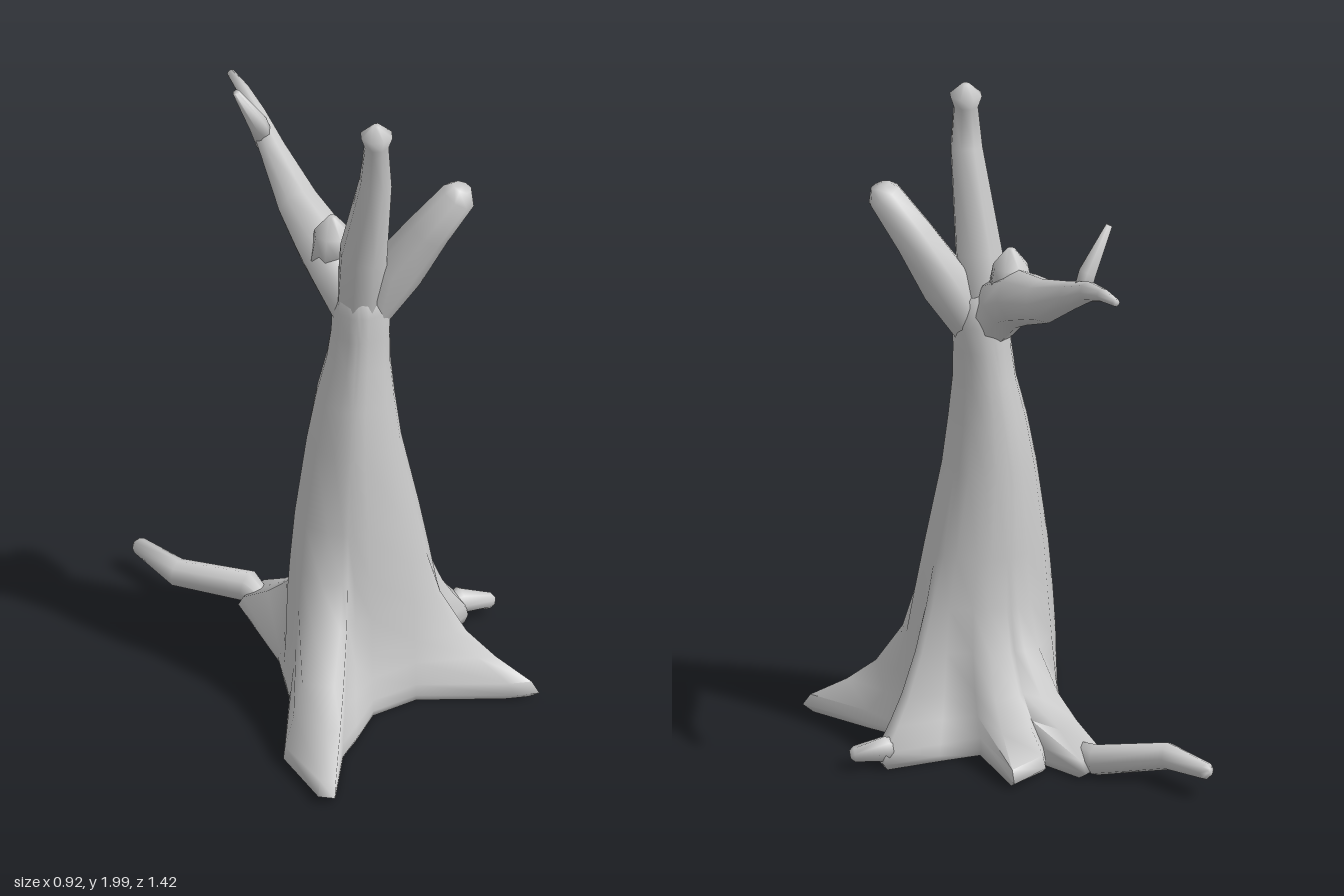
import * as THREE from 'three';
import { toCreasedNormals } from 'three/addons/utils/BufferGeometryUtils.js';

const material = new THREE.MeshStandardMaterial({ color: 0xcccccc });

// Skin a stack of closed rings and cap both ends with fans.
function loft(name, rings, bottom, top) {
  const n = rings[0].length, pts = [...rings.flat(), bottom, top], index = [];
  const last = (rings.length - 1) * n, b = pts.length - 2, t = pts.length - 1;
  for (let j = 0; j < n; j++) {
    const k = (j + 1) % n;
    for (let i = 0; i < last; i += n) index.push(i + j, i + k, i + n + j, i + k, i + n + k, i + n + j);
    index.push(b, k, j, t, last + j, last + k);
  }
  const geo = new THREE.BufferGeometry().setFromPoints(pts);
  geo.setIndex(index);
  const mesh = new THREE.Mesh(toCreasedNormals(geo, 1.9), material);
  mesh.name = name;
  return mesh;
}

// Tapering bent limb; each stop is [x, y, z, radius].
function limb(name, stops, sides = 8) {
  const p = stops.map(([x, y, z]) => new THREE.Vector3(x, y, z));
  const end = p.length - 1;
  const rings = p.map((c, i) => {
    const t = p[Math.min(i + 1, end)].clone().sub(p[Math.max(i - 1, 0)]).normalize();
    const u = new THREE.Vector3(1, 0, 0).addScaledVector(t, -t.x).normalize();
    const v = t.clone().cross(u);
    return Array.from({ length: sides }, (_, j) => {
      const a = (j / sides) * Math.PI * 2, r = stops[i][3];
      return c.clone().addScaledVector(u, r * Math.cos(a)).addScaledVector(v, r * Math.sin(a));
    });
  });
  return loft(name, rings, p[0], p[end]);
}

// Outline of the root spread on the ground, [x, z, ridge exponent]; a low exponent lifts the ridge.
const outline = [
  [-0.30, 0.17, 0.9], [-0.46, 0.45, 0.55], [-0.46, 0.68, 0.95], [-0.42, 0.71, 1], [-0.30, 0.52, 1], [-0.22, 0.45, 1],
  [-0.11, 0.34, 1], [0.04, 0.32, 1], [0.30, 0.45, 1.1], [0.37, 0.47, 1], [0.27, 0.26, 1], [0.18, 0.10, 1],
  [0.24, 0.06, 0.9], [0.37, 0.0, 0.65], [0.38, -0.07, 0.65], [0.20, -0.08, 0.8], [0.07, -0.09, 1], [0.11, -0.38, 1.2],
  [-0.03, -0.31, 1], [-0.06, -0.25, 1], [-0.11, -0.41, 0.95], [-0.21, -0.35, 0.95], [-0.23, -0.05, 1], [-0.26, 0.05, 1],
];

// Trunk levels: [y, centre x, centre z, radius x, radius z, share of root flare].
const levels = [
  [0.01, -0.04, 0.11, 0.22, 0.18, 0.9],
  [0.03, -0.04, 0.11, 0.22, 0.18, 1],
  [0.065, -0.04, 0.11, 0.22, 0.18, 0.93],
  [0.13, -0.04, 0.11, 0.22, 0.18, 0.6],
  [0.20, -0.04, 0.11, 0.22, 0.18, 0.34],
  [0.32, -0.04, 0.11, 0.22, 0.18, 0.1],
  [0.45, -0.045, 0.115, 0.21, 0.17, 0.015],
  [0.6, -0.05, 0.11, 0.188, 0.16, 0],
  [0.85, -0.06, 0.11, 0.14, 0.14, 0],
  [1.0, -0.055, 0.11, 0.115, 0.122, 0],
  [1.12, -0.045, 0.11, 0.093, 0.103, 0],
  [1.22, -0.038, 0.11, 0.086, 0.092, 0],
  [1.3, -0.035, 0.11, 0.086, 0.088, 0],
  [1.38, -0.035, 0.11, 0.07, 0.075, 0],
];

function trunk() {
  const rings = levels.map(([y, cx, cz, rx, rz, flare]) => outline.map(([x, z, ridge]) => {
    const a = Math.atan2(z - 0.12, x + 0.06), f = flare ** ridge;
    const ex = cx + rx * Math.cos(a), ez = cz + rz * Math.sin(a);
    return new THREE.Vector3(ex + (x - ex) * f, y, ez + (z - ez) * f);
  }));
  return loft('trunk', rings, new THREE.Vector3(-0.06, 0.03, 0.12), new THREE.Vector3(-0.035, 1.43, 0.11));
}

export function createModel() {
  const tree = new THREE.Group();
  tree.name = 'bareTree';
  tree.add(
    trunk(),
    // free root ends
    limb('backRoot', [[-0.14, 0.06, -0.2, 0.01], [-0.16, 0.06, -0.385, 0.047], [-0.33, 0.085, -0.51, 0.042],
      [-0.37, 0.09, -0.68, 0.026], [-0.373, 0.09, -0.695, 0.012]]),
    limb('leftRoot', [[0.22, 0.06, -0.01, 0.01], [0.36, 0.065, -0.035, 0.04], [0.445, 0.055, -0.005, 0.024], [0.457, 0.053, 0.0, 0.012]]),
    // main branches
    limb('frontBranch', [[-0.04, 1.15, 0.11, 0.03], [-0.04, 1.3, 0.115, 0.075], [-0.04, 1.5, 0.135, 0.073], [-0.045, 1.8, 0.225, 0.05],
      [-0.045, 1.93, 0.23, 0.038], [-0.045, 1.965, 0.23, 0.05], [-0.045, 2.0, 0.23, 0.012]]),
    limb('leftBranch', [[-0.04, 1.13, 0.11, 0.02], [-0.015, 1.27, 0.12, 0.062], [0.065, 1.42, 0.15, 0.08],
      [0.14, 1.56, 0.2, 0.066], [0.215, 1.69, 0.25, 0.054], [0.225, 1.72, 0.255, 0.03]]),
    limb('backBranch', [[-0.045, 1.13, 0.11, 0.02], [-0.05, 1.27, 0.095, 0.068], [-0.07, 1.38, 0.02, 0.085], [-0.075, 1.425, -0.07, 0.083],
      [-0.075, 1.467, -0.22, 0.066], [-0.07, 1.55, -0.4, 0.042], [-0.065, 1.605, -0.52, 0.03], [-0.058, 1.63, -0.62, 0.02], [-0.055, 1.638, -0.71, 0.012]]),
    // small offshoots
    limb('twig', [[-0.07, 1.55, -0.45, 0.03], [-0.1, 1.63, -0.44, 0.03], [-0.175, 1.765, -0.435, 0.011]], 6),
    limb('stub', [[-0.075, 1.42, 0.0, 0.07], [-0.075, 1.5, 0.0, 0.055], [-0.075, 1.555, 0.0, 0.012]]),
  );
  return tree;
}
